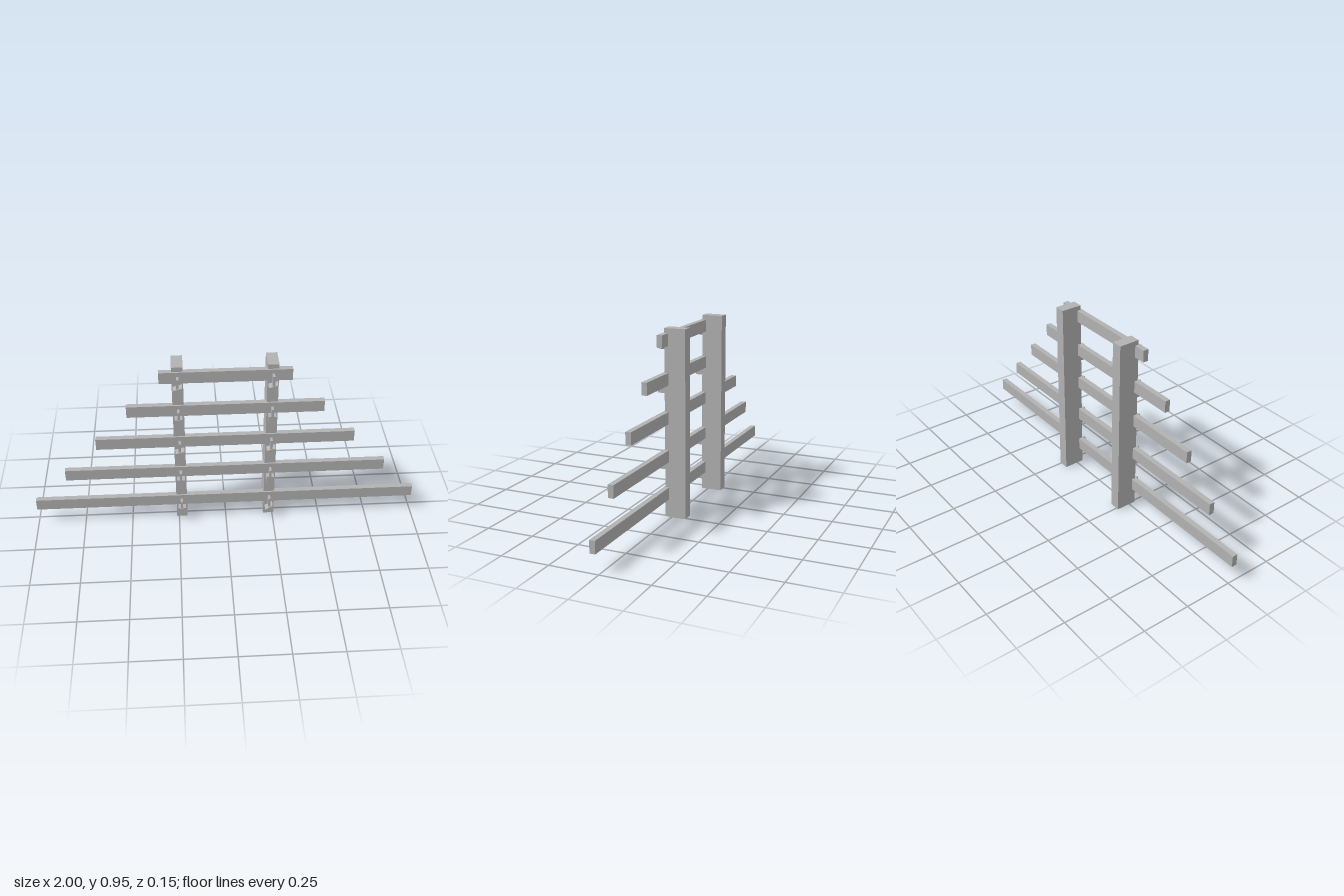
import * as THREE from 'three';

export function createModel() {
  const model = new THREE.Group();
  model.name = 'tieredRack';
  const grey = new THREE.MeshStandardMaterial({ color: 0xb2b2b2 });
  grey.name = 'plain grey';

  // Box given by its limits on each axis
  function addBox(name, x0, x1, y0, y1, z0, z1, tilt = 0) {
    const mesh = new THREE.Mesh(new THREE.BoxGeometry(x1 - x0, y1 - y0, z1 - z0), grey);
    mesh.position.set((x0 + x1) / 2, (y0 + y1) / 2, (z0 + z1) / 2);
    mesh.rotation.z = tilt;
    mesh.name = name;
    model.add(mesh);
  }

  // Two uprights
  const postX = [-0.234, 0.23];
  for (const x of postX) addBox('post', x - 0.028, x + 0.028, 0, 0.95, -0.074, 0.035);

  // Crossbars, shorter towards the top, each held by a pair of front brackets
  const bars = [
    { y: 0.122, half: 0.999, foot: 0.05, plates: [false, true] },
    { y: 0.315, half: 0.827, foot: 0.243, plates: [false, false] },
    { y: 0.509, half: 0.655, foot: 0.452, plates: [true, true] },
    { y: 0.702, half: 0.49, foot: 0.63, plates: [false, false] },
    { y: 0.895, half: 0.324, foot: 0.838, plates: [true, true] },
  ];
  bars.forEach(({ y, half, foot, plates }, level) => {
    addBox('crossbar', -half, half, y - 0.031, y + 0.031, 0.015, 0.043);
    postX.forEach((x, i) => {
      // Upright bracket fin
      addBox('bracketFin', x - 0.006, x + 0.006, y - 0.045, y + 0.008, 0.041, 0.073);
      // Foot: slanted thin plate or small block
      if (plates[i]) {
        const mid = foot + (level === 0 ? 0.017 : 0.008);
        const tilt = level === 0 ? 0.6 : 0.28;
        addBox('bracketPlate', x - 0.024, x + 0.024, mid - 0.002, mid + 0.002, 0.035, 0.074, tilt);
      } else {
        addBox('bracketBlock', x - 0.02, x + 0.02, foot, foot + 0.038, 0.035, 0.074);
      }
    });
  });
  return model;
}
